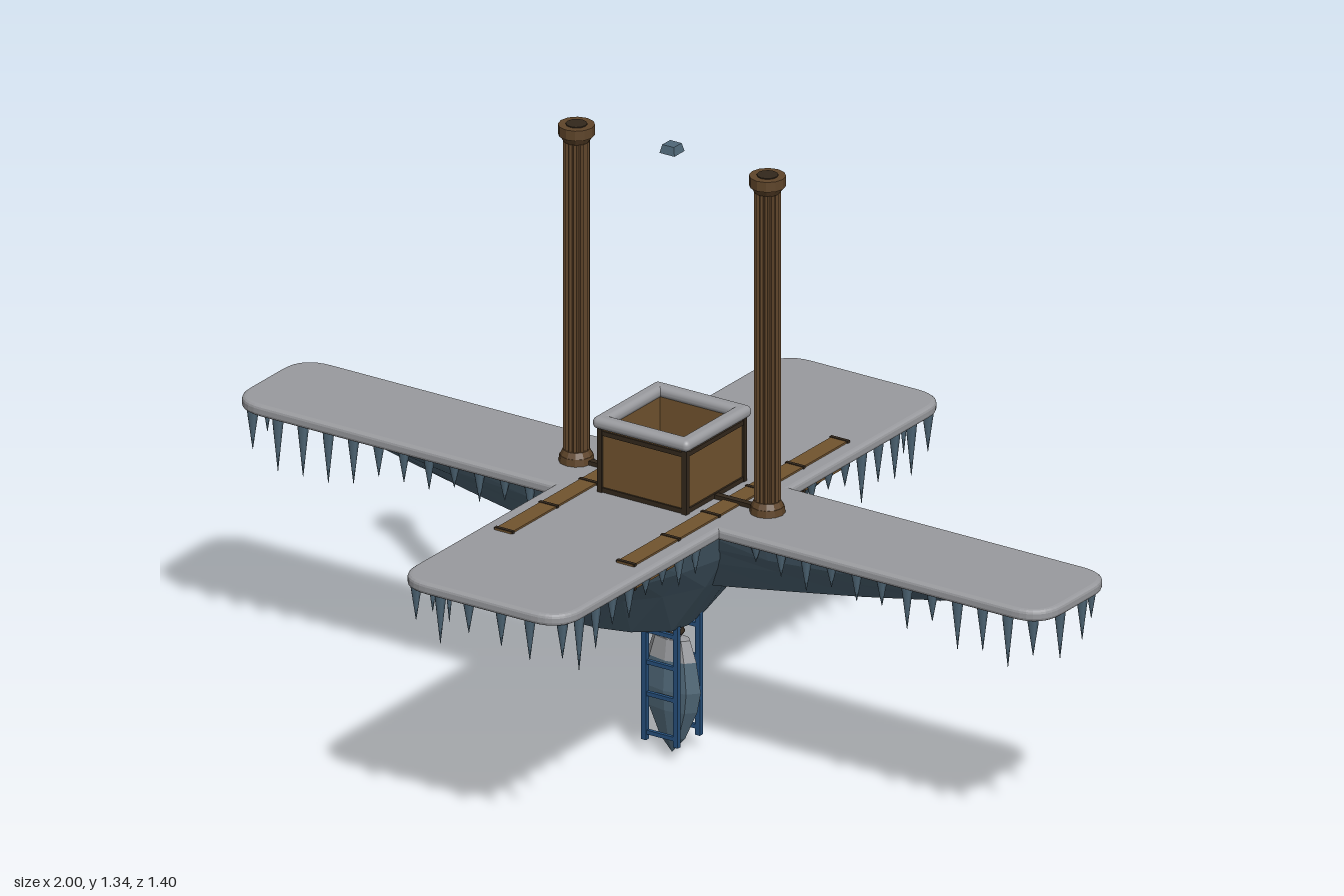
import * as THREE from 'three';
import { mergeGeometries } from 'three/addons/utils/BufferGeometryUtils.js';
import { RoundedBoxGeometry } from 'three/addons/geometries/RoundedBoxGeometry.js';

const mat = (name, color) => {
  const m = new THREE.MeshStandardMaterial({ color });
  m.name = name;
  return m;
};

// Deterministic 0..1 variation
const rand = (i) => Math.abs(Math.sin(i * 12.9898 + 1.7) * 43758.5453) % 1;

// Give a geometry hard facets
function faceted(geo) {
  const g = geo.index ? geo.toNonIndexed() : geo;
  g.computeVertexNormals();
  return g;
}

// Keel running along z: stations are [position, half width, depth]
function keelGeometry(stations, topY) {
  const half = [[1, 0], [0.86, 0.27], [0.6, 0.55], [0.2, 0.98]];
  const profile = [...half, ...half.slice().reverse().map(([x, y]) => [-x, y])];
  const rows = [...stations.slice(1).reverse().map(([z, w, d]) => [-z, w, d]), ...stations];
  const pos = [], idx = [], n = profile.length;
  rows.forEach(([z, w, d], i) => profile.forEach(([px, py], j) => {
    const wobble = j > 0 && j < n - 1 ? 0.94 + 0.1 * rand(i * n + j) : 1;
    pos.push(px * w * wobble, topY - py * d, z);
    if (i < rows.length - 1 && j < n - 1) {
      const a = i * n + j, b = a + n;
      idx.push(a, b, a + 1, b, b + 1, a + 1);
    }
  }));
  const g = new THREE.BufferGeometry();
  g.setAttribute('position', new THREE.Float32BufferAttribute(pos, 3));
  g.setIndex(idx);
  return faceted(g);
}

// Cross-shaped outline with rounded outer corners
function crossShape(ax, az, bx, bz, r) {
  const s = new THREE.Shape();
  s.moveTo(bx, az);
  s.lineTo(ax - r, az); s.quadraticCurveTo(ax, az, ax, az - r);
  s.lineTo(ax, -az + r); s.quadraticCurveTo(ax, -az, ax - r, -az);
  s.lineTo(bx, -az);
  s.lineTo(bx, -bz + r); s.quadraticCurveTo(bx, -bz, bx - r, -bz);
  s.lineTo(-bx + r, -bz); s.quadraticCurveTo(-bx, -bz, -bx, -bz + r);
  s.lineTo(-bx, -az);
  s.lineTo(-ax + r, -az); s.quadraticCurveTo(-ax, -az, -ax, -az + r);
  s.lineTo(-ax, az - r); s.quadraticCurveTo(-ax, az, -ax + r, az);
  s.lineTo(-bx, az);
  s.lineTo(-bx, bz - r); s.quadraticCurveTo(-bx, bz, -bx + r, bz);
  s.lineTo(bx - r, bz); s.quadraticCurveTo(bx, bz, bx, bz - r);
  s.closePath();
  return s;
}

export function createModel() {
  const root = new THREE.Group();
  const snow = mat('snow', 0x9a9b9f);
  const ice = mat('ice', 0x506878);
  const wood = mat('wood', 0x72542f);
  const darkWood = mat('darkWood', 0x5f452a);
  const trim = mat('trim', 0x33281c);
  const blue = mat('blueMetal', 0x26507c);

  const add = (name, geo, material, x = 0, y = 0, z = 0, parent = root) => {
    const m = new THREE.Mesh(geo, material);
    m.name = name;
    m.position.set(x, y, z);
    parent.add(m);
    return m;
  };
  const group = (name) => {
    const g = new THREE.Group();
    g.name = name;
    root.add(g);
    return g;
  };
  const box = (w, h, d) => new THREE.BoxGeometry(w, h, d);

  // Snow-covered cross platform
  const deck = new THREE.ExtrudeGeometry(crossShape(0.99, 0.121, 0.195, 0.69, 0.065), {
    depth: 0.01, bevelEnabled: true, bevelSize: 0.01, bevelThickness: 0.008, bevelSegments: 3, curveSegments: 8,
  });
  deck.rotateX(-Math.PI / 2);
  add('platform', deck, snow, 0, 0.579, 0);

  // Ice hull below each pair of arms
  add('mainHull', keelGeometry([[0, 0.2, 0.28], [0.06, 0.2, 0.272], [0.2, 0.185, 0.225], [0.32, 0.17, 0.172],
    [0.43, 0.15, 0.115], [0.52, 0.11, 0.055], [0.6, 0.06, 0.002]], 0.573), ice);
  add('wingHull', keelGeometry([[0, 0.115, 0.165], [0.12, 0.115, 0.163], [0.3, 0.108, 0.132], [0.48, 0.1, 0.1],
    [0.65, 0.09, 0.067], [0.78, 0.075, 0.04], [0.88, 0.04, 0.003]], 0.573).rotateY(Math.PI / 2), ice);

  // Icicles along the platform edges, longest near the tips
  const cones = [];
  const icicle = (x, z, len) => {
    const pts = [[0.0005, -len], [0.006, -len * 0.55], [0.011, -len * 0.15], [0.012, 0]];
    const g = new THREE.LatheGeometry(pts.map(([a, b]) => new THREE.Vector2(a, b)), 6);
    cones.push(g.translate(x, 0.574, z));
  };
  let seed = 0;
  for (const s of [-1, 1]) for (const t of [-1, 1]) {
    for (let i = 0; i < 12; i++) {
      const x = 0.96 - i * 0.062;
      icicle(s * x, t * 0.105, (0.06 + 0.07 * rand(seed++)) * (x > 0.55 ? 1 : 0.6));
    }
    for (let i = 0; i < 9; i++) {
      const z = 0.66 - i * 0.06;
      icicle(s * 0.18, t * z, (0.07 + 0.06 * rand(seed++)) * (z > 0.4 ? 1 : 0.55));
    }
  }
  for (const s of [-1, 1]) {
    for (const z of [-0.05, 0.03]) icicle(s * 0.975, z, 0.07 + 0.06 * rand(seed++));
    for (const x of [-0.11, -0.04, 0.04, 0.11]) icicle(x, s * 0.675, 0.06 + 0.06 * rand(seed++));
  }
  add('icicles', mergeGeometries(cones), ice);

  // Tall fluted pillars with base and capital
  const flutes = new THREE.Shape();
  for (let i = 0; i < 32; i++) {
    const a = i * Math.PI / 16, r = i % 2 ? 0.0225 : 0.0275;
    flutes[i ? 'lineTo' : 'moveTo'](r * Math.cos(a), r * Math.sin(a));
  }
  const shaft = new THREE.ExtrudeGeometry(flutes, { depth: 0.7, bevelEnabled: false }).rotateX(-Math.PI / 2);
  const ring = (r0, r1, h) => faceted(new THREE.CylinderGeometry(r1, r0, h, 12));
  for (const s of [-1, 1]) {
    const p = group(s > 0 ? 'leftPillar' : 'rightPillar');
    p.position.x = s * 0.235;
    add('shaft', shaft, darkWood, 0, 0.615, 0, p);
    add('base', ring(0.037, 0.035, 0.016), darkWood, 0, 0.604, 0, p);
    add('baseRing', ring(0.034, 0.028, 0.012), darkWood, 0, 0.618, 0, p);
    add('neck', ring(0.027, 0.036, 0.014), darkWood, 0, 1.312, 0, p);
    add('capital', ring(0.038, 0.038, 0.022), darkWood, 0, 1.33, 0, p);
    add('capitalTop', ring(0.022, 0.022, 0.002), trim, 0, 1.342, 0, p);
  }
  add('crossBar', box(0.44, 0.012, 0.014), trim, 0, 0.6, 0);

  // Side rails with dark bands
  for (const s of [-1, 1]) {
    const r = group(s > 0 ? 'leftRail' : 'rightRail');
    r.position.set(s * 0.15, 0, 0);
    add('rail', box(0.04, 0.056, 0.78), wood, 0, 0.573, 0, r);
    for (const z of [-0.385, -0.225, -0.08, 0.08, 0.225, 0.385])
      add('railBand', box(0.045, 0.059, 0.008), trim, 0, 0.573, z, r);
  }

  // Open wooden crate with dark frame, snowy rim and snow mound
  const crate = group('crate');
  for (let i = 0; i < 4; i++) {
    const side = new THREE.Group();
    side.name = 'crateSide';
    side.rotation.y = i * Math.PI / 2;
    crate.add(side);
    add('wall', box(0.21, 0.145, 0.014), wood, 0, 0.668, 0.098, side);
    add('cornerPost', box(0.012, 0.145, 0.012), trim, 0.104, 0.668, 0.104, side);
    add('topBand', box(0.21, 0.01, 0.01), trim, 0, 0.728, 0.104, side);
    add('bottomBand', box(0.21, 0.01, 0.01), trim, 0, 0.603, 0.104, side);
    add('snowRim', new RoundedBoxGeometry(0.238, 0.026, 0.032, 3, 0.012), snow, 0, 0.75, 0.103, side);
  }
  add('crateFloor', box(0.19, 0.01, 0.19), wood, 0, 0.6, 0, crate);
  const mound = new THREE.SphereGeometry(0.083, 20, 6, 0, Math.PI * 2, 0, Math.PI / 2).scale(1, 0.55, 0.85);
  add('snowMound', mound, snow, 0, 0.604, 0, crate);

  // Small ice chip floating above
  const chip = faceted(new THREE.CylinderGeometry(0.02, 0.026, 0.018, 4)).rotateY(Math.PI / 4);
  add('floatingChip', chip, ice, 0, 1.345, 0);

  // Hanging crystal with pale collar
  const facetLathe = (pts) => faceted(
    new THREE.LatheGeometry(pts.map(([r, y]) => new THREE.Vector2(r, y)), 8)).scale(1, 1, 0.45);
  add('crystal', facetLathe([[0.001, 0.01], [0.032, 0.045], [0.062, 0.11], [0.071, 0.155], [0.06, 0.22]]), ice);
  add('crystalCollar', facetLathe([[0.06, 0.22], [0.045, 0.265], [0.001, 0.27]]), snow);
  add('crystalNeck', new THREE.CylinderGeometry(0.02, 0.02, 0.04, 10), snow, 0, 0.285, 0);
  add('neckRing', new THREE.TorusGeometry(0.022, 0.005, 6, 14).rotateX(Math.PI / 2), trim, 0, 0.278, 0);

  // Blue ladders in front of and behind the crystal
  for (const s of [-1, 1]) {
    const l = group(s > 0 ? 'frontLadder' : 'backLadder');
    l.position.z = s * 0.04;
    for (const x of [-0.039, 0.039]) add('ladderRail', box(0.012, 0.285, 0.011), blue, x, 0.185, 0, l);
    for (const y of [0.06, 0.145, 0.215, 0.285]) add('rung', box(0.078, 0.009, 0.008), blue, 0, y, 0, l);
  }
  return root;
}
